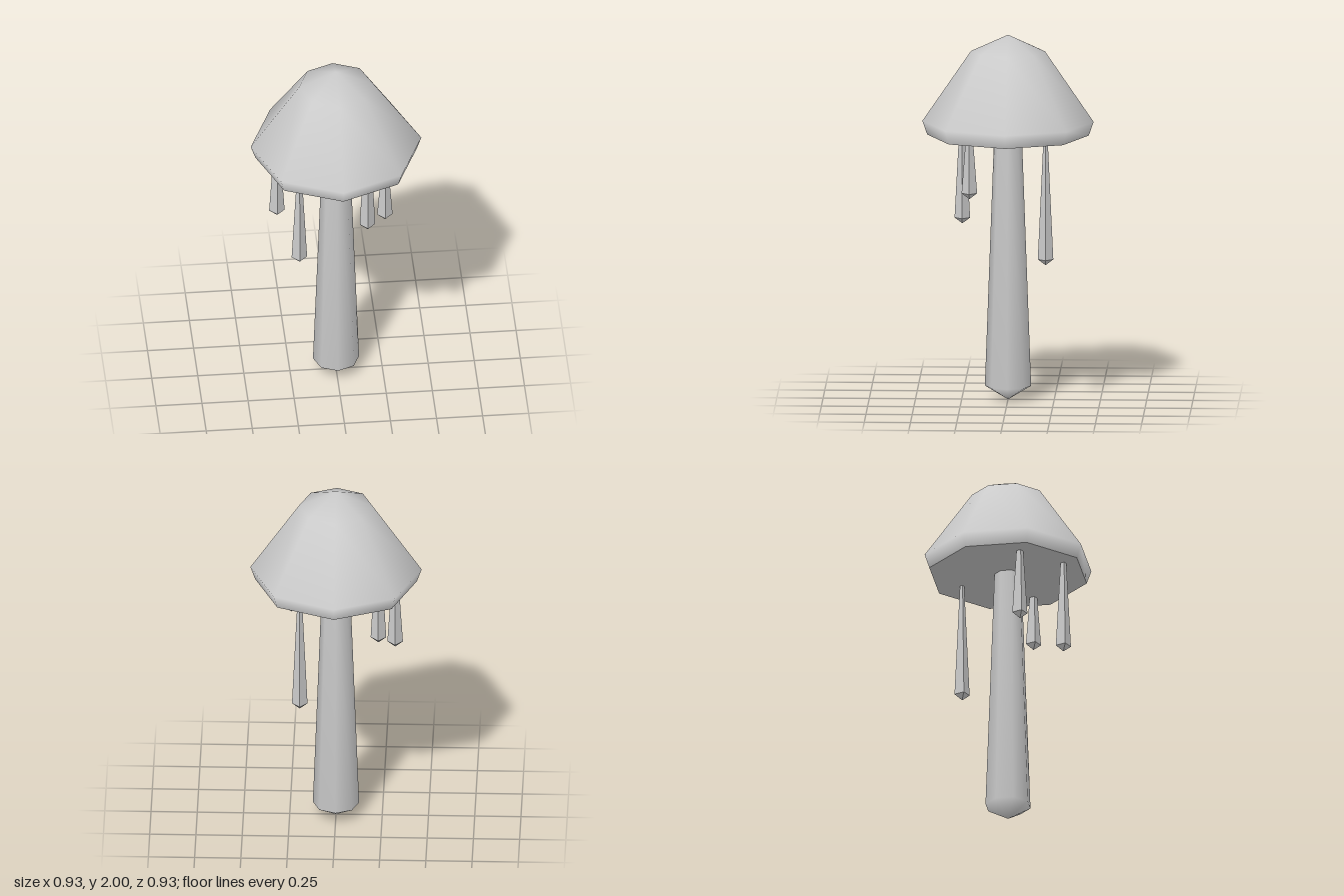
import * as THREE from 'three';

const grey = new THREE.MeshStandardMaterial({ color: 0xcccccc });
const greyFlat = new THREE.MeshStandardMaterial({ color: 0xcccccc, flatShading: true });

// Turned part from [radius, y] pairs listed bottom to top; a repeated pair makes a hard edge
function turned(name, profile, sides, material) {
  const geometry = new THREE.LatheGeometry(profile.map(([r, y]) => new THREE.Vector2(r, y)), sides);
  const { position, normal } = geometry.attributes;
  // Points on the axis face straight up or down, so the tips shade smoothly
  for (let i = 0; i < position.count; i++) {
    if (Math.hypot(position.getX(i), position.getZ(i)) < 1e-6) {
      normal.setXYZ(i, 0, Math.sign(normal.getY(i)) || 1, 0);
    }
  }
  const mesh = new THREE.Mesh(geometry, material);
  mesh.name = name;
  return mesh;
}

export function createModel() {
  const group = new THREE.Group();
  group.name = 'mushroom';
  const capBase = 1.45;

  // Tapered stem with a pointed foot
  group.add(turned('stem', [[0, 0], [0.125, 0.075], [0.075, capBase]], 8, grey));

  // Eight-sided cap with a flat underside
  group.add(turned('cap', [
    [0, capBase], [0.437, capBase], [0.437, capBase],
    [0.463, 1.525], [0.2, 1.91], [0, 2],
  ], 8, grey));

  // Four-sided drips hanging from the underside: x, z, tip height, top radius
  const drips = [
    [-0.32, -0.01, 1.05, 0.019],
    [-0.222, 0.255, 0.925, 0.016],
    [0.19, -0.21, 0.77, 0.012],
    [0.247, 0.2, 1.14, 0.021],
  ];
  for (const [x, z, tip, topRadius] of drips) {
    const drip = turned('drip', [[0, tip], [0.042, tip + 0.032], [topRadius, capBase]], 4, greyFlat);
    drip.position.set(x, 0, z);
    group.add(drip);
  }
  return group;
}
